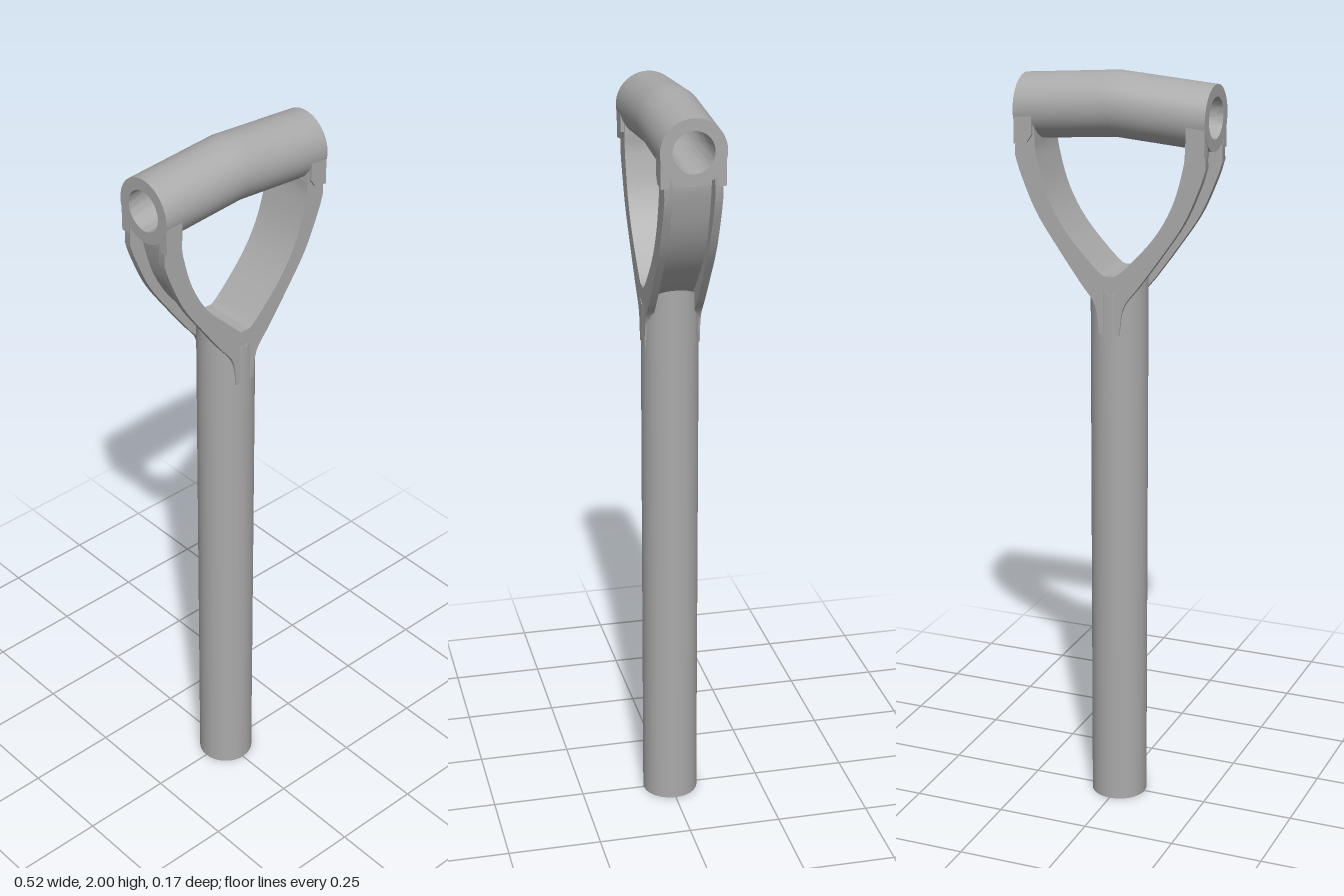
import * as THREE from 'three';
import { toCreasedNormals } from 'three/addons/utils/BufferGeometryUtils.js';

const V = (x, y) => new THREE.Vector2(x, y);
const mirrored = pts => pts.map(p => V(-p.x, p.y)).reverse();

export function createModel() {
  const model = new THREE.Group();
  model.name = 'dHandle';
  const grey = new THREE.MeshStandardMaterial({ color: 0xaaaaaa });
  grey.name = 'grey';
  const add = (name, geometry) => {
    const mesh = new THREE.Mesh(geometry, grey);
    mesh.name = name;
    model.add(mesh);
    return mesh;
  };
  // Plate cut from an outline, with its depth running from z0 to z1
  const plate = (name, outline, z0, z1) => {
    const g = new THREE.ExtrudeGeometry(new THREE.Shape(outline), { depth: z1 - z0, bevelEnabled: false });
    g.translate(0, 0, z0);
    return add(name, toCreasedNormals(g, 0.6));
  };

  // Shaft, its top cut to a V that meets the underside of the arms
  const shaft = new THREE.CylinderGeometry(0.075, 0.075, 1.4, 48);
  shaft.translate(0, 0.7, 0);
  const sp = shaft.attributes.position;
  for (let i = 0; i < sp.count; i++) {
    if (sp.getY(i) > 1) sp.setY(i, 1.435 + 0.75 * Math.abs(sp.getX(i)));
  }
  add('shaft', shaft);

  // Inner edge of the opening, from the crotch up the right arm
  const innerEdge = new THREE.SplineCurve([
    V(0, 1.485), V(0.03, 1.495), V(0.118, 1.59), V(0.17, 1.68), V(0.199, 1.78), V(0.203, 1.83),
  ]).getPoints(30);
  // Outer edge of the flanges, from the tongue on the shaft upwards
  const outerEdge = new THREE.SplineCurve([
    V(0.028, 1.33), V(0.039, 1.405), V(0.08, 1.462), V(0.135, 1.538), V(0.2, 1.635), V(0.242, 1.73), V(0.258, 1.78),
  ]).getPoints(30);

  // Front and back flanges of the Y-shaped yoke
  const rightOuter = [...outerEdge, V(0.254, 1.88)];
  const rightInner = [V(0.207, 1.88), ...innerEdge.slice().reverse()];
  const yoke = [...rightOuter, ...rightInner, ...mirrored(rightInner).slice(1), ...mirrored(rightOuter)];
  plate('frontFlange', yoke, 0.053, 0.073);
  plate('backFlange', yoke, -0.073, -0.053);

  // Web lining the opening between the flanges
  const webOuter = innerEdge.map((p, i) => {
    const a = innerEdge[Math.max(i - 1, 0)], b = innerEdge[Math.min(i + 1, innerEdge.length - 1)];
    const t = b.clone().sub(a).normalize();
    return i === 0 ? V(0, p.y - 0.03) : V(p.x + t.y * 0.02, p.y - t.x * 0.02);
  });
  const web = [...webOuter, ...innerEdge.slice().reverse(), ...mirrored(innerEdge).reverse().slice(1), ...mirrored(webOuter).slice(0, -1)];
  plate('web', web, -0.06, 0.06);

  // Hollow grip: a tube along x, lowered towards both ends
  const xs = [];
  for (let i = 0; i <= 16; i++) xs.push(-0.258 + 0.516 * i / 16);
  const profile = [...xs.map(x => V(0.084, x)), ...xs.slice().reverse().map(x => V(0.053, x)), V(0.084, xs[0])];
  const grip = new THREE.LatheGeometry(profile, 48);
  grip.rotateZ(-Math.PI / 2);
  const gp = grip.attributes.position;
  for (let i = 0; i < gp.count; i++) {
    gp.setY(i, gp.getY(i) + 1.916 - 0.02 * Math.abs(gp.getX(i)) / 0.258);
  }
  add('grip', toCreasedNormals(grip, 0.6));

  // Cuffs that carry the grip ends down onto the flanges
  for (const side of [-1, 1]) {
    const cuff = [V(0.208, 1.89), V(0.208, 1.835), V(0.222, 1.815), V(0.257, 1.81), V(0.257, 1.89)]
      .map(p => V(side * p.x, p.y));
    plate('frontCuff', cuff, 0.06, 0.082);
    plate('backCuff', cuff, -0.082, -0.06);
  }
  return model;
}
